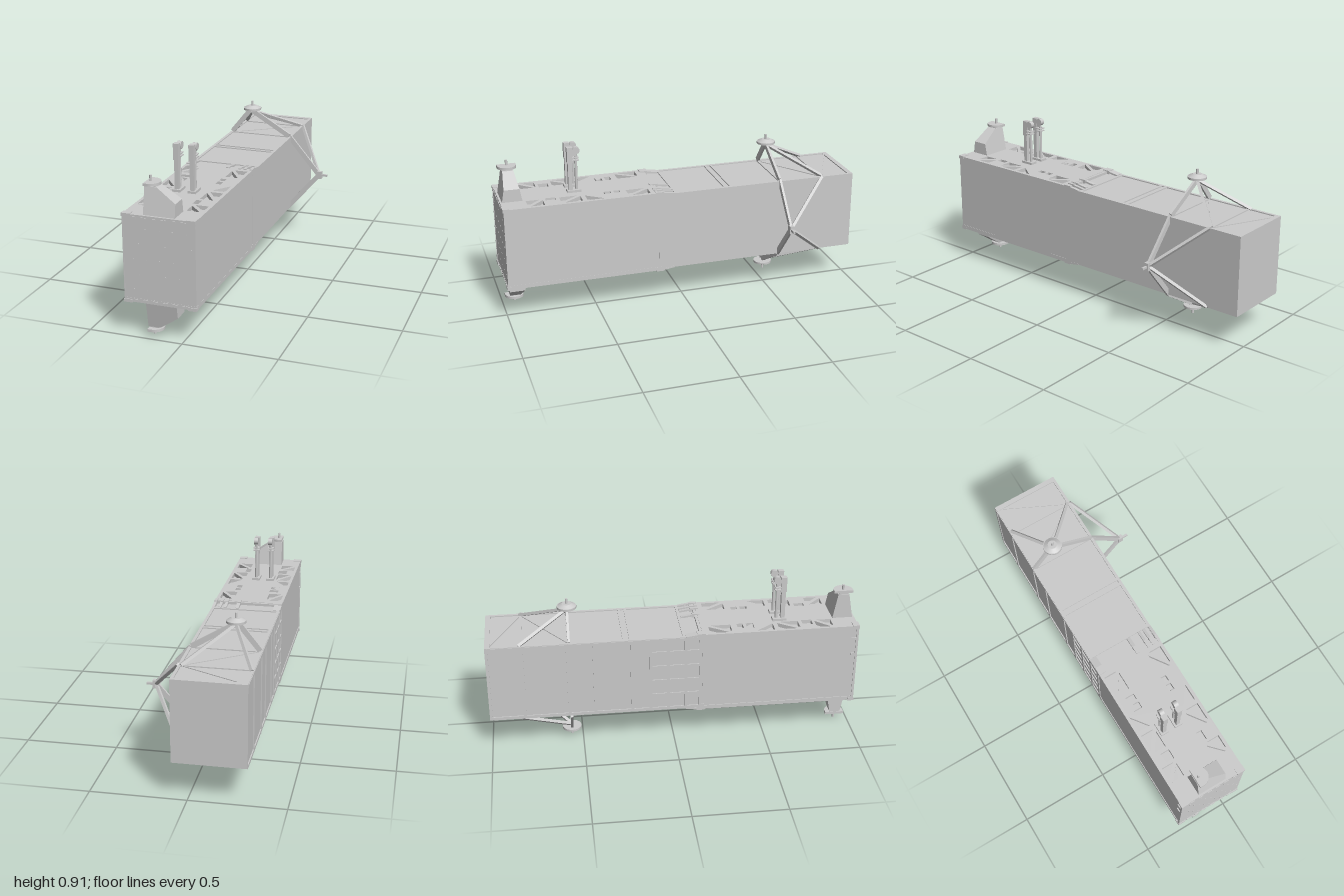
import * as THREE from 'three';

const MID = 0.42;                       // height of the horizontal symmetry plane
const grey = new THREE.MeshStandardMaterial({ color: 0xcccccc, side: THREE.DoubleSide, flatShading: true });
const smooth = new THREE.MeshStandardMaterial({ color: 0xcccccc });

export function createModel() {
  const root = new THREE.Group();

  const add = (name, geo, x = 0, y = 0, z = 0, mat = grey) => {
    const m = new THREE.Mesh(geo, mat);
    m.name = name;
    m.position.set(x, y, z);
    root.add(m);
    return m;
  };
  // Box from min/max ranges
  const box = (name, x0, x1, y0, y1, z0, z1) =>
    add(name, new THREE.BoxGeometry(x1 - x0, Math.abs(y1 - y0), z1 - z0), (x0 + x1) / 2, (y0 + y1) / 2, (z0 + z1) / 2);
  const cyl = (name, rTop, rBottom, h, x, y, z, seg = 20) =>
    add(name, new THREE.CylinderGeometry(rTop, rBottom, h, seg), x, y, z, smooth);
  // Flat bar between two points, width w, thickness t
  const bar = (name, a, b, w, t, up = [0, 0, 1]) => {
    const p = new THREE.Vector3(...a), q = new THREE.Vector3(...b);
    const m = add(name, new THREE.BoxGeometry(w, t, p.distanceTo(q)));
    m.position.copy(p).lerp(q, 0.5);
    m.up.set(...up);
    m.lookAt(q);
    return m;
  };
  // Height above (s = 1) or mirrored below (s = -1) the middle
  const mir = (y, s) => MID + s * (y - MID);

  // Bodies
  box('rearBody', -0.297, 0.08, 0.206, 0.635, -0.995, 0.15);
  box('rearEndPlate', -0.301, 0.08, 0.2, 0.641, -1, -0.985);
  box('frontBody', -0.299, 0.079, 0.21, 0.63, 0.15, 0.995);
  box('frontSideRail', -0.303, -0.298, 0.19, 0.645, 0.985, 0.998);

  // Deck plate with pockets
  const rect = (x0, x1, z0, z1) => [[x0, z0], [x1, z0], [x1, z1], [x0, z1]];
  const pockets = [];
  const pocketPair = (z0, z1, flip) => {      // square pocket split by a diagonal, on both edges
    for (const side of [-1, 1]) {
      const xo = side < 0 ? -0.287 : 0.062, xi = side < 0 ? -0.205 : -0.02;
      const g = 0.012 * Math.sign(xi - xo), a = flip ? z1 : z0, b = flip ? z0 : z1, d = 0.016 * Math.sign(b - a);
      pockets.push([[xo + g, a], [xi, a], [xi, b - d]], [[xo, a + d], [xi - g, b], [xo, b]]);
    }
  };
  pocketPair(0.19, 0.31, true);
  pocketPair(0.43, 0.54, false);
  pocketPair(0.565, 0.68, true);
  pocketPair(0.77, 0.86, true);
  for (const [z0, z1] of [[0.345, 0.378], [0.395, 0.435], [0.7, 0.755]])
    pockets.push(rect(-0.25, -0.2, z0, z1), rect(-0.03, 0.0, z0, z1));

  const toPath = (pts, P) => new P(pts.map(([x, z]) => new THREE.Vector2(x, -z)));
  const deck = toPath(rect(-0.303, 0.08, 0.15, 0.996), THREE.Shape);
  deck.holes = pockets.map(p => toPath(p, THREE.Path));
  const deckGeo = new THREE.ExtrudeGeometry(deck, { depth: 0.022, bevelEnabled: false });
  deckGeo.rotateX(-Math.PI / 2);

  // Cap outline, flat on one side
  const capShape = new THREE.Shape();
  capShape.moveTo(-0.02, -0.052);
  capShape.lineTo(0, -0.052);
  capShape.absarc(0, 0, 0.052, -Math.PI / 2, Math.PI / 2, false);
  capShape.lineTo(-0.02, 0.052);
  const capGeo = new THREE.ExtrudeGeometry(capShape, { depth: 0.014, bevelEnabled: false, curveSegments: 16 });
  capGeo.rotateX(-Math.PI / 2);

  for (const s of [1, -1]) {
    const end = s > 0 ? 'top' : 'bottom';
    const Y = y => mir(y, s);
    add(end + 'Deck', deckGeo, 0, s > 0 ? 0.629 : Y(0.651), 0);

    // Front trunnion: wedge narrowing in depth away from the body
    const prof = [[-0.195, 0.64], [-0.03, 0.64], [-0.03, 0.72], [-0.13, 0.79], [-0.195, 0.79]];
    const wedge = new THREE.ExtrudeGeometry(
      new THREE.Shape(prof.map(([x, y]) => new THREE.Vector2(x, Y(y)))), { depth: 1, bevelEnabled: false });
    const p = wedge.attributes.position;
    for (let i = 0; i < p.count; i++) {
      const up = (Math.abs(p.getY(i) - MID) - 0.22) / 0.15;
      p.setZ(i, (p.getZ(i) - 0.5) * 2 * (0.057 - 0.027 * up));
    }
    wedge.computeVertexNormals();
    add(end + 'FrontTrunnion', wedge, 0, 0, 0.93);
    add(end + 'FrontTrunnionCap', capGeo, -0.173, s > 0 ? 0.797 : Y(0.811), 0.93);
    box(end + 'FrontTrunnionNeck', -0.19, -0.14, Y(0.785), Y(0.8), 0.905, 0.955);
    cyl(end + 'FrontTrunnionPin', 0.007, 0.007, 0.05, -0.173, Y(0.815), 0.93);

    // Rear trunnion with its struts
    cyl(end + 'RearTrunnionCap', 0.052, 0.052, 0.012, -0.165, Y(0.794), -0.56);
    cyl(end + 'RearTrunnionDome', s > 0 ? 0.025 : 0.05, s > 0 ? 0.05 : 0.025, 0.014, -0.165, Y(0.806), -0.56);
    cyl(end + 'RearTrunnionPin', 0.007, 0.007, 0.06, -0.165, Y(0.81), -0.56);
    const tip = [-0.165, Y(0.78), -0.56], elbow = [0.065, Y(0.643), -0.56], apex = [0.255, MID, -0.56];
    bar(end + 'CrossStrut', tip, elbow, 0.028, 0.013);
    bar(end + 'OuterStrut', elbow, apex, 0.028, 0.013);
    bar(end + 'ShortStrut', [-0.18, Y(0.78), -0.56], [-0.29, Y(0.643), -0.56], 0.028, 0.013);
    bar(end + 'DiagonalStrutLeft', tip, [0.065, Y(0.64), -0.815], 0.016, 0.016);
    bar(end + 'DiagonalStrutRight', tip, [-0.29, Y(0.64), -0.825], 0.016, 0.016);
    bar(end + 'SideDiagonalStrut', apex, [0.078, Y(0.64), -0.81], 0.016, 0.016);

    // Rear roof and floor ribs
    for (const z of [-0.98, -0.81, -0.56, -0.27, -0.235, 0.05])
      box(end + 'CrossRib', -0.299, 0.079, Y(0.63), Y(0.641), z - 0.007, z + 0.007);
    for (const x of [-0.292, 0.072])
      box(end + 'EdgeRib', x - 0.008, x + 0.008, Y(0.63), Y(0.641), -0.995, 0.15);
    bar(end + 'PanelDiagonal', [-0.28, Y(0.636), -0.98], [0.065, Y(0.636), -0.81], 0.006, 0.006, [0, 1, 0]);
    bar(end + 'PanelDiagonal', [0.065, Y(0.636), -0.81], [-0.285, Y(0.636), -0.56], 0.006, 0.006, [0, 1, 0]);

    // Joint band and wedge clamps
    box(end + 'JointBand', -0.303, 0.08, Y(0.62), Y(0.649), 0.135, 0.16);
    for (const [x0, x1] of [[-0.303, -0.262], [-0.07, -0.05], [0, 0.015], [0.03, 0.045], [0.065, 0.081]]) {
      box(end + 'JointClamp', x0, x1, Y(0.63), Y(0.656), 0.12, 0.165);
      bar(end + 'JointClampTail', [(x0 + x1) / 2, Y(0.648), 0.13], [(x0 + x1) / 2, Y(0.638), 0.06],
        x1 - x0, 0.01, [0, 1, 0]);
    }

    // Front corner brackets and slots along the front edge
    for (const x0 of [-0.306, 0.035])
      box(end + 'CornerBracket', x0, x0 + 0.046, Y(0.638), Y(0.655), 0.965, 1);
    for (let i = 0; i < 6; i++) {
      const x = -0.24 + i * 0.052;
      box(end + 'EdgeLatch', x - 0.013, x + 0.013, Y(0.634), Y(0.641), 0.985, 1);
    }
  }

  // Outer apex joint and pin on the side frame
  box('sideApexBlock', 0.24, 0.272, 0.398, 0.442, -0.572, -0.548);
  box('sidePin', 0.27, 0.305, MID - 0.006, MID + 0.006, -0.566, -0.554);

  // Right side panels and lattice
  for (const z of [-0.81, -0.57, -0.43, -0.23, -0.13, -0.035, 0.06, 0.14])
    box('sideRib', -0.303, -0.29, 0.203, 0.638, z - 0.008, z + 0.008);
  for (const y of [0.21, 0.63])
    box('sideRail', -0.303, -0.29, y - 0.008, y + 0.008, -0.99, 0.15);
  for (let i = 1; i < 5; i++)
    box('latticeBar', -0.303, -0.29, 0.205 + i * 0.086, 0.219 + i * 0.086, -0.13, 0.14);
  for (const y of [0.48, 0.575])
    box('sideFitting', -0.305, -0.295, y - 0.006, y + 0.006, 0.96, 0.985);

  // Front face fasteners
  for (let i = 0; i < 5; i++)
    for (let j = 0; j < 5; j++) {
      const x = -0.25 + i * 0.07 + (j % 2) * 0.03, y = 0.26 + j * 0.08;
      box('fastener', x - 0.003, x + 0.003, y - 0.003, y + 0.003, 0.99, 0.997);
    }

  // Two instrument posts on the front deck
  for (const x of [-0.173, -0.089]) {
    box('postFoot', x - 0.022, x + 0.022, 0.648, 0.664, 0.545, 0.622);
    box('postColumn', x - 0.011, x + 0.011, 0.66, 0.84, 0.59, 0.613);
    box('postHead', x - 0.015, x + 0.013, 0.82, 0.905, 0.585, 0.616);
    cyl('postRod', 0.008, 0.008, 0.21, x, 0.76, 0.567, 12);
    const knob = cyl('postKnob', 0.02, 0.02, 0.024, x + 0.003, 0.887, 0.566, 16);
    knob.rotation.z = Math.PI / 2;
    for (const y of [0.833, 0.847])
      box('postClamp', x - 0.018, x + 0.018, y - 0.003, y + 0.003, 0.553, 0.59);
    box('postBracket', x - 0.008, x + 0.008, 0.855, 0.895, 0.566, 0.59);
  }

  return root;
}
